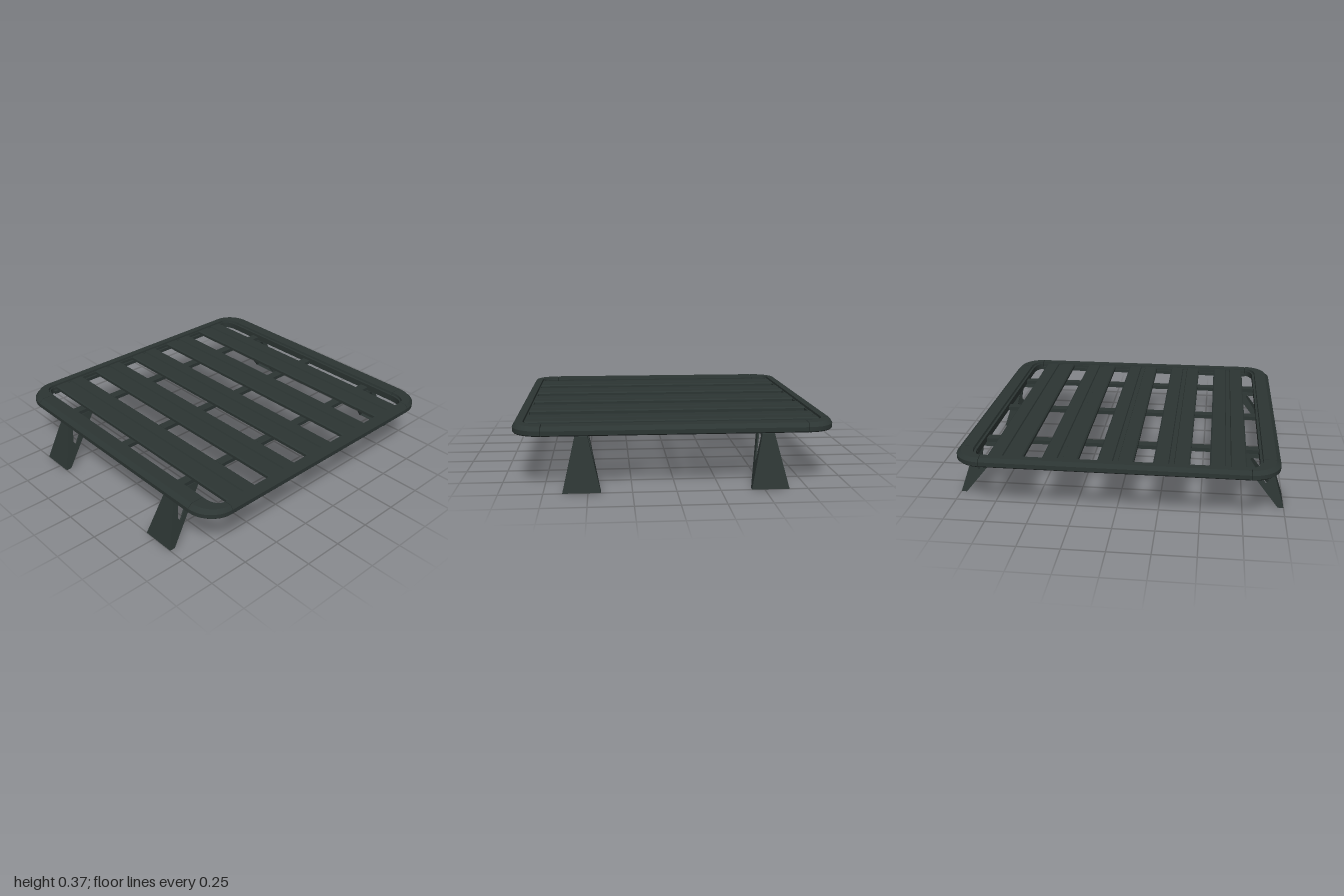
import * as THREE from 'three';
import { toCreasedNormals } from 'three/addons/utils/BufferGeometryUtils.js';

// Skin a closed 2D profile through successive sections; place(a, b, s) gives the 3D point.
function loft(profile, steps, place) {
  const pos = [];
  const tri = (...pts) => pts.forEach((p) => pos.push(...p));
  const rings = steps.map((s) => profile.map(([a, b]) => place(a, b, s)));
  const n = profile.length;
  for (let i = 0; i + 1 < rings.length; i++) {
    for (let j = 0; j < n; j++) {
      const k = (j + 1) % n;
      tri(rings[i][j], rings[i][k], rings[i + 1][k]);
      tri(rings[i][j], rings[i + 1][k], rings[i + 1][j]);
    }
  }
  const outline = profile.map(([a, b]) => new THREE.Vector2(a, b));
  const first = rings[0], last = rings[rings.length - 1];
  for (const [a, b, c] of THREE.ShapeUtils.triangulateShape(outline, [])) {
    tri(first[c], first[b], first[a]);
    tri(last[a], last[b], last[c]);
  }
  const geo = new THREE.BufferGeometry();
  geo.setAttribute('position', new THREE.Float32BufferAttribute(pos, 3));
  return toCreasedNormals(geo, 0.4);
}

const shapeOf = (pts) => new THREE.Shape(pts.map(([x, y]) => new THREE.Vector2(x, y)));

export function createModel() {
  const model = new THREE.Group();
  model.name = 'roofRack';
  const black = new THREE.MeshStandardMaterial({ color: 0x2c3533 });
  black.name = 'powderCoatedBlack';

  const add = (parent, name, geo) => {
    const mesh = new THREE.Mesh(geo, black);
    mesh.name = name;
    parent.add(mesh);
    return mesh;
  };

  // Perimeter frame: profile runs from outer edge (0) to inner edge (1)
  const rail = [
    [0.08, 0.315], [1, 0.315], [1, 0.356], [0.88, 0.356],
    [0.85, 0.37], [0.22, 0.37], [0, 0.347], [0, 0.322],
  ];
  const X = 0.955, Z = 0.93, cx = 0.785, cz = 0.76, gap = 0.003;
  const endWidth = 0.07, sideWidth = 0.12;

  const endRail = loft(rail, [-cx + gap, cx - gap], (f, y, x) => [x, y, Z - f * endWidth]);
  const sideRail = loft(rail, [cz - gap, -cz + gap], (f, y, z) => [X - f * sideWidth, y, z]);
  const sweep = Array.from({ length: 11 }, (_, i) => (Math.PI / 2) * (1 - i / 10));
  const corner = loft(rail, sweep, (f, y, t) => [
    cx + (X - cx - f * sideWidth) * Math.cos(t), y,
    cz + (Z - cz - f * endWidth) * Math.sin(t),
  ]);

  for (const s of [1, -1]) {
    const end = s > 0 ? 'front' : 'back';
    add(model, end + 'Rail', endRail).scale.z = s;
    const lip = add(model, end + 'RailLip', new THREE.BoxGeometry(2 * cx - 0.006, 0.022, 0.02));
    lip.position.set(0, 0.326, s * 0.855);
    add(model, (s > 0 ? 'left' : 'right') + 'Rail', sideRail).scale.x = s;
    for (const sx of [1, -1]) {
      add(model, end + (sx > 0 ? 'Left' : 'Right') + 'Corner', corner).scale.set(sx, 1, s);
    }
  }

  // Five lengthwise slats with a shallow centre groove
  const slat = loft([
    [-0.106, 0.336], [0.106, 0.336], [0.106, 0.354], [0.098, 0.361],
    [0.018, 0.361], [0.014, 0.352], [-0.014, 0.352], [-0.018, 0.361],
    [-0.098, 0.361], [-0.106, 0.354],
  ], [-0.865, 0.865], (x, y, z) => [x, y, z]);
  for (let i = -2; i <= 2; i++) {
    add(model, 'slat' + (i + 3), slat).position.x = i * 0.324 - 0.004;
  }

  // Three crossbars under the slats, slotted below
  const bar = loft([
    [-0.028, 0.313], [-0.009, 0.313], [-0.009, 0.323], [0.009, 0.323],
    [0.009, 0.313], [0.028, 0.313], [0.028, 0.337], [-0.028, 0.337],
  ], [0.85, -0.85], (z, y, x) => [x, y, z]);
  const legZ = 0.535;
  [legZ, 0, -legZ].forEach((z, i) => {
    add(model, 'crossbar' + (i + 1), bar).position.z = z;
  });

  // Leg: folded bracket whose half width tapers with height
  const half = (y) => 0.108 - 0.075 * (y / 0.313);
  const fold = (shape, depth, rule) => {
    const geo = new THREE.ExtrudeGeometry(shape, { depth, bevelEnabled: false });
    const p = geo.attributes.position;
    for (let i = 0; i < p.count; i++) p.setZ(i, rule(p.getZ(i), half(p.getY(i))));
    geo.computeVertexNormals();
    return geo;
  };
  const across = (pts) => fold(shapeOf(pts), 2, (z, h) => (z - 1) * h);

  const web = shapeOf([
    [0.965, 0], [0.999, 0], [0.904, 0.3], [0.89, 0.312], [0.73, 0.312], [0.72, 0.293],
  ]);
  web.holes.push(shapeOf([
    [0.786, 0.284], [0.793, 0.29], [0.868, 0.29], [0.877, 0.283], [0.904, 0.16], [0.888, 0.139],
  ]));
  const t = 0.009;
  const legParts = {
    legOuterPlate: across([[0.988, 0], [1, 0], [0.905, 0.3], [0.893, 0.3]]),
    legTopPlate: across([[0.724, 0.301], [0.905, 0.3], [0.89, 0.313], [0.729, 0.313]]),
    legFoot: across([[0.965, 0], [0.99, 0], [0.986, 0.01], [0.973, 0.01]]),
    legFrontWeb: fold(web, t, (z, h) => h - t + z),
    legBackWeb: fold(web, t, (z, h) => z - h),
  };
  for (const sx of [1, -1]) {
    for (const sz of [1, -1]) {
      const leg = new THREE.Group();
      leg.name = (sz > 0 ? 'front' : 'back') + (sx > 0 ? 'Left' : 'Right') + 'Leg';
      for (const [name, geo] of Object.entries(legParts)) add(leg, name, geo);
      leg.scale.x = sx;
      leg.position.z = sz * legZ;
      model.add(leg);
    }
  }
  return model;
}
